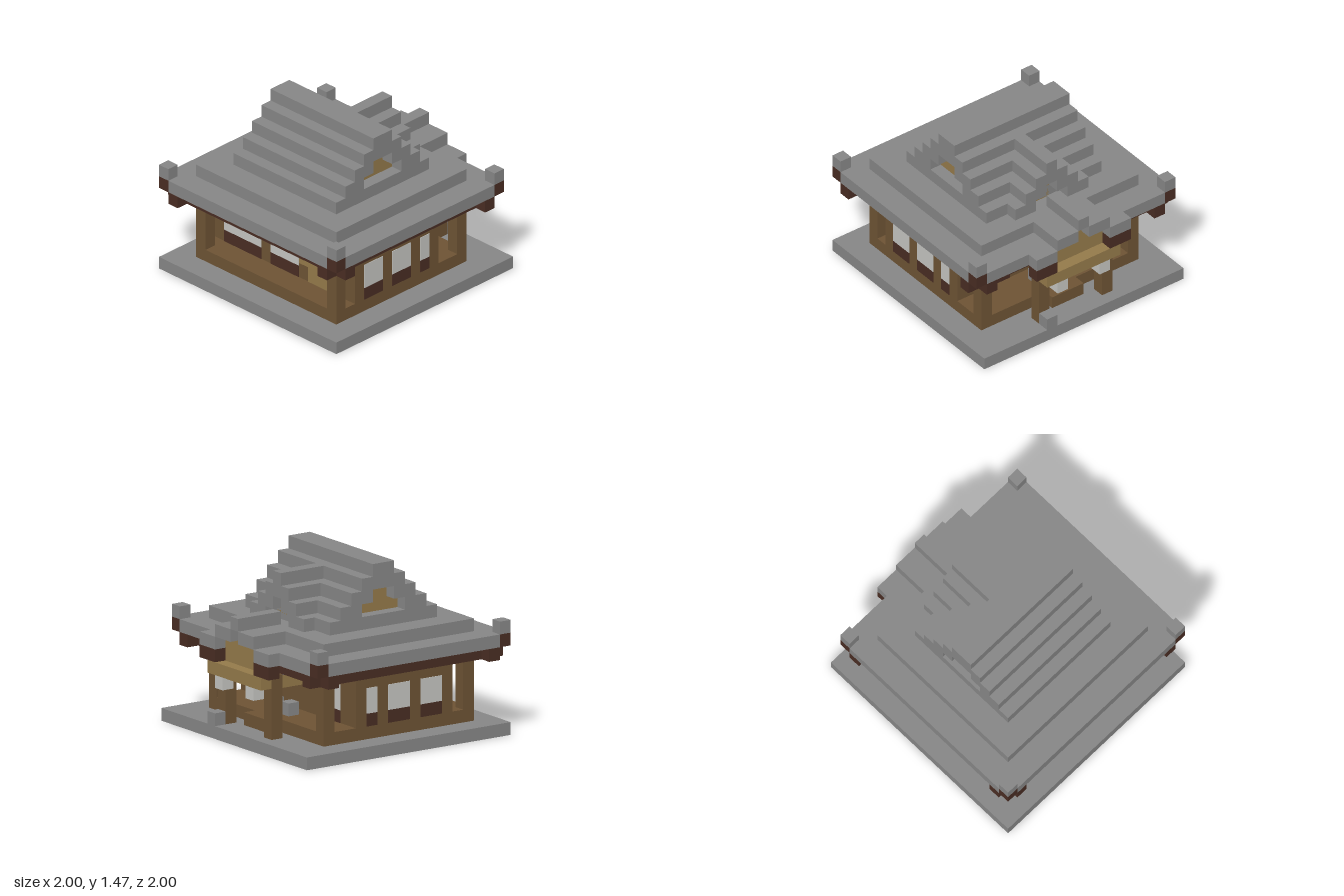
import * as THREE from 'three';

export function createModel() {
  const U = 2 / 19; // one block
  const model = new THREE.Group();
  model.name = 'blockShrine';
  const paint = (name, color) => {
    const m = new THREE.MeshStandardMaterial({ color });
    m.name = name;
    return m;
  };
  const stone = paint('stoneGrey', 0x868686);
  const wood = paint('brownWood', 0x6d5334);
  const tan = paint('tanWood', 0x947a4a);
  const dark = paint('darkWood', 0x492d23);
  const pane = paint('paperWhite', 0xc4c4c0);

  // Box from its limits, in blocks
  const box = (name, mat, x0, x1, y0, y1, z0, z1) => {
    const m = new THREE.Mesh(new THREE.BoxGeometry((x1 - x0) * U, (y1 - y0) * U, (z1 - z0) * U), mat);
    m.position.set((x0 + x1) / 2 * U, (y0 + y1) / 2 * U, (z0 + z1) / 2 * U);
    m.name = name;
    model.add(m);
    return m;
  };
  // The same box on both sides of x = 0
  const pair = (name, mat, x0, x1, ...rest) => {
    box(name + 'Left', mat, x0, x1, ...rest);
    box(name + 'Right', mat, -x1, -x0, ...rest);
  };
  const T = 0.04; // thickness of painted plates

  // Plinth and raised floor
  box('plinth', stone, -9.5, 9.5, 0, 1, -9.5, 9.5);
  box('floor', wood, -7.5, 7.5, 1, 2, -6.5, 7.5);
  box('entranceStep', wood, -1.5, 1.5, 1, 2, -7.5, -6.5);

  // Corner posts, porch posts and walls
  pair('frontPost', wood, 6.5, 7.5, 2, 6, 6.5, 7.5);
  pair('backPost', wood, 6.5, 7.5, 2, 6, -6.5, -5.5);
  pair('porchPost', wood, 2.5, 3.5, 1, 6, -8.5, -7.5);
  pair('sideWall', wood, 6.5, 7.5, 2, 6, -3.5, 5.5);
  box('frontWall', wood, -6.5, 6.5, 2, 6, 4.5, 5.5);
  box('backWall', wood, -6.5, 6.5, 2, 6, -3.5, -2.5);

  // Windows: white pane above a dark sill panel
  for (const [z0, z1] of [[2.5, 4.5], [-0.5, 1.5], [-2.5, -1.5]]) {
    pair('sideWindow', pane, 7.5, 7.5 + T, 3, 5, z0, z1);
    pair('sidePanel', dark, 7.5, 7.5 + T, 2, 3, z0, z1);
  }
  for (const [x0, x1] of [[-6.5, -2.5], [-1.5, 1.5]]) {
    box('frontWindow', pane, x0, x1, 3, 5, 5.5, 5.5 + T);
    box('frontPanel', dark, x0, x1, 2, 3, 5.5, 5.5 + T);
  }
  pair('backWindow', pane, 2.5, 5.5, 3, 5, -3.5 - T, -3.5);
  pair('backPanel', dark, 2.5, 5.5, 2, 3, -3.5 - T, -3.5);

  // Front counter with its projecting shutter
  box('counter', tan, 2.5, 6.5, 2, 4, 5.5, 5.5 + T);
  box('shutter', tan, 2.5, 6.5, 4, 5, 5.5, 6.5);

  // Porch fittings
  box('porchBeam', tan, -3.5, 3.5, 5, 6, -9.5, -8.5);
  pair('lantern', pane, 1.5, 2.5, 4, 5, -9.5, -8.5);
  box('waterStone', stone, 2.5, 3.5, 1, 2, -9.5, -8.5);
  pair('guardStone', stone, 0.5, 1.5, 2, 3, -5.5, -4.5);
  box('bell', stone, -0.5, 0.5, 5, 6, -5.5, -4.5);
  box('bellBeam', tan, -0.5, 0.5, 4, 5, -5.5, -3.5);

  // Dark beams under the eaves, with brackets and raised corners
  box('eaveBeams', dark, -8.5, 8.5, 6, 7, -7.5, 8.5);
  for (const s of [1, -1]) {
    const z = (a, b) => [0.5 + Math.min(s * a, s * b), 0.5 + Math.max(s * a, s * b)];
    pair('cornerBlock', dark, 8.5, 9.5, 7, 8, ...z(8, 9));
    pair('cornerTile', stone, 8.5, 9.5, 8, 9, ...z(8, 9));
    pair('sideBracket', dark, 8.5, 9.5, 6, 7, ...z(7, 8));
    pair('endBracket', dark, 7.5, 8.5, 6, 7, ...z(8, 9));
  }

  // Eaves (notched at the corners) and second tier
  box('eaves', stone, -8.5, 8.5, 7, 8, -8.5, 9.5);
  pair('sideEaves', stone, 8.5, 9.5, 7, 8, -7.5, 8.5);
  box('lowerRoof', stone, -7.5, 7.5, 8, 9, -6.5, 7.5);

  // Stepped main roof with recessed gables at both ends
  for (let i = 0; i < 5; i++) {
    const h = 5 - i;
    const y = 9 + i;
    const inner = { 1: 2, 2: 1 }[i];
    if (!inner) {
      box('roofStep', stone, -5.5, 5.5, y, y + 1, 0.5 - h, 0.5 + h);
      continue;
    }
    box('roofStepFront', stone, -5.5, 5.5, y, y + 1, 0.5 + inner, 0.5 + h);
    box('roofStepBack', stone, -5.5, 5.5, y, y + 1, 0.5 - h, 0.5 - inner);
    box('gableWall', tan, -4.5, 4.5, y, y + 1, 0.5 - inner, 0.5 + inner);
  }

  // Stepped back dormer with a recessed gable
  for (let i = 0; i < 4; i++) {
    const h = 3.5 - i;
    const y = 9 + i;
    const zIn = -4.5 + i;
    const inner = h - 2;
    if (inner > 0) {
      pair('dormerStep', stone, inner, h, y, y + 1, -5.5, zIn);
      box('dormerGable', tan, -inner, inner, y, y + 1, -4.5, zIn + 0.5);
    } else {
      box('dormerStep', stone, -h, h, y, y + 1, -5.5, zIn);
    }
  }

  // Porch roof: stepped arch over a tan gable
  pair('porchEaveBeam', dark, 2.5, 4.5, 6, 7, -9.5, -8.5);
  pair('porchEave', stone, 2.5, 4.5, 7, 8, -9.5, -8.5);
  pair('porchRoof', stone, 0.5, 2.5, 8, 9, -9.5, -6.5);
  box('porchRidge', stone, -0.5, 0.5, 9, 10, -9.5, -5.5);
  box('porchGableLower', tan, -2.5, 2.5, 6, 8, -8.5 - T, -7.5);
  box('porchGableUpper', tan, -0.5, 0.5, 8, 9, -8.5 - T, -6.5);

  return model;
}
